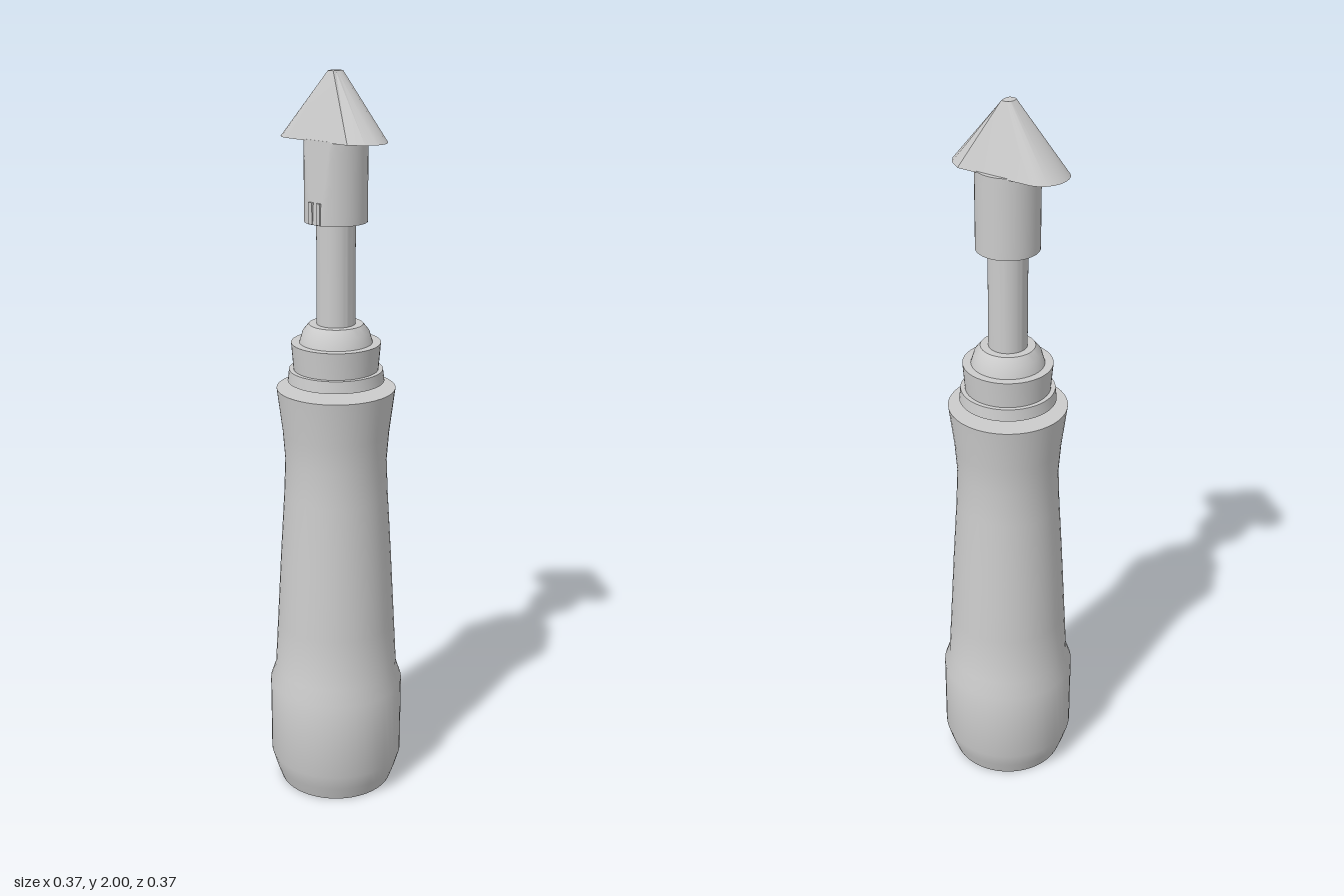
import * as THREE from 'three';
import { toCreasedNormals } from 'three/addons/utils/BufferGeometryUtils.js';

const grey = new THREE.MeshStandardMaterial({ color: 0xcccccc });

function part(name, geometry, crease = 0.5) {
  const mesh = new THREE.Mesh(toCreasedNormals(geometry, crease), grey);
  mesh.name = name;
  return mesh;
}

// Turned part from [radius, height] pairs, bottom to top
function turned(name, profile) {
  const points = profile.map(([r, y]) => new THREE.Vector2(r, y));
  return part(name, new THREE.LatheGeometry(points, 48));
}

// Closed solid between two [x, z] rings, listed counter-clockwise from above
function loft(bottom, y0, top, y1) {
  const pos = [];
  const n = bottom.length;
  const at = ([x, z], y) => [x, y, z];
  const tri = (a, b, c) => pos.push(...a, ...b, ...c);
  for (let i = 0; i < n; i++) {
    const j = (i + 1) % n;
    const a = at(bottom[i], y0), b = at(bottom[j], y0);
    const c = at(top[j], y1), d = at(top[i], y1);
    tri(a, b, c);
    tri(a, c, d);
    tri([0, y1, 0], d, c);
    tri([0, y0, 0], b, a);
  }
  const g = new THREE.BufferGeometry();
  g.setAttribute('position', new THREE.Float32BufferAttribute(pos, 3));
  return g;
}

export function createModel() {
  const model = new THREE.Group();

  // Waisted handle with a thick butt
  model.add(turned('handle', [
    [0, 0], [0.16, 0], [0.174, 0.04], [0.187, 0.085], [0.187, 0.31], [0.172, 0.355],
    [0.164, 0.5], [0.153, 0.7], [0.142, 0.88], [0.138, 0.98], [0.144, 1.06], [0.159, 1.18], [0, 1.18],
  ]));

  // Stepped ferrule
  model.add(turned('ferrule', [
    [0, 1.2], [0.129, 1.2], [0.125, 1.232], [0.113, 1.232], [0.119, 1.305], [0.097, 1.305],
    [0.088, 1.335], [0.072, 1.355], [0, 1.355],
  ]));

  // Shaft running from the handle into the socket
  model.add(turned('shaft', [[0, 1.17], [0.051, 1.17], [0.051, 1.64], [0, 1.64]]));

  // Socket, relieved towards the top on its right side
  const socket = new THREE.CylinderGeometry(0.082, 0.082, 0.21, 48, 8);
  const p = socket.attributes.position;
  for (let i = 0; i < p.count; i++) {
    const limit = -0.08 + 0.011 * (p.getY(i) / 0.21 + 0.5);
    p.setX(i, Math.max(p.getX(i), limit));
  }
  socket.translate(0, 1.73, 0);
  model.add(part('socket', socket));

  // Pair of small catches at the foot of the relieved side
  for (const side of [-1, 1]) {
    const tab = new THREE.BoxGeometry(0.022, 0.055, 0.012);
    tab.translate(-0.072, 1.654, side * 0.013);
    model.add(part('catch', tab));
  }

  // Barbed head: flat-sided cone with a rounded back and a faceted front
  const base = [[0.069, 0.1]];
  const tip = [[0.018, 0.007]];
  const steps = 12;
  for (let i = 0; i <= steps; i++) {
    const t = (i / steps) * Math.PI;
    const c = Math.cos(t), s = Math.sin(t);
    base.push([0.069 * c, -0.105 - 0.06 * s]);
    tip.push([0.018 * c, -0.008 - 0.01 * s]);
  }
  base.push([-0.069, 0.1], [-0.043, 0.136], [-0.018, 0.152], [0, 0.155], [0.018, 0.152], [0.043, 0.136]);
  tip.push([-0.018, 0.007], [-0.011, 0.009], [-0.005, 0.01], [0, 0.011], [0.005, 0.01], [0.011, 0.009]);
  model.add(part('barbedHead', loft(base, 1.832, tip, 2), 0.45));

  return model;
}
